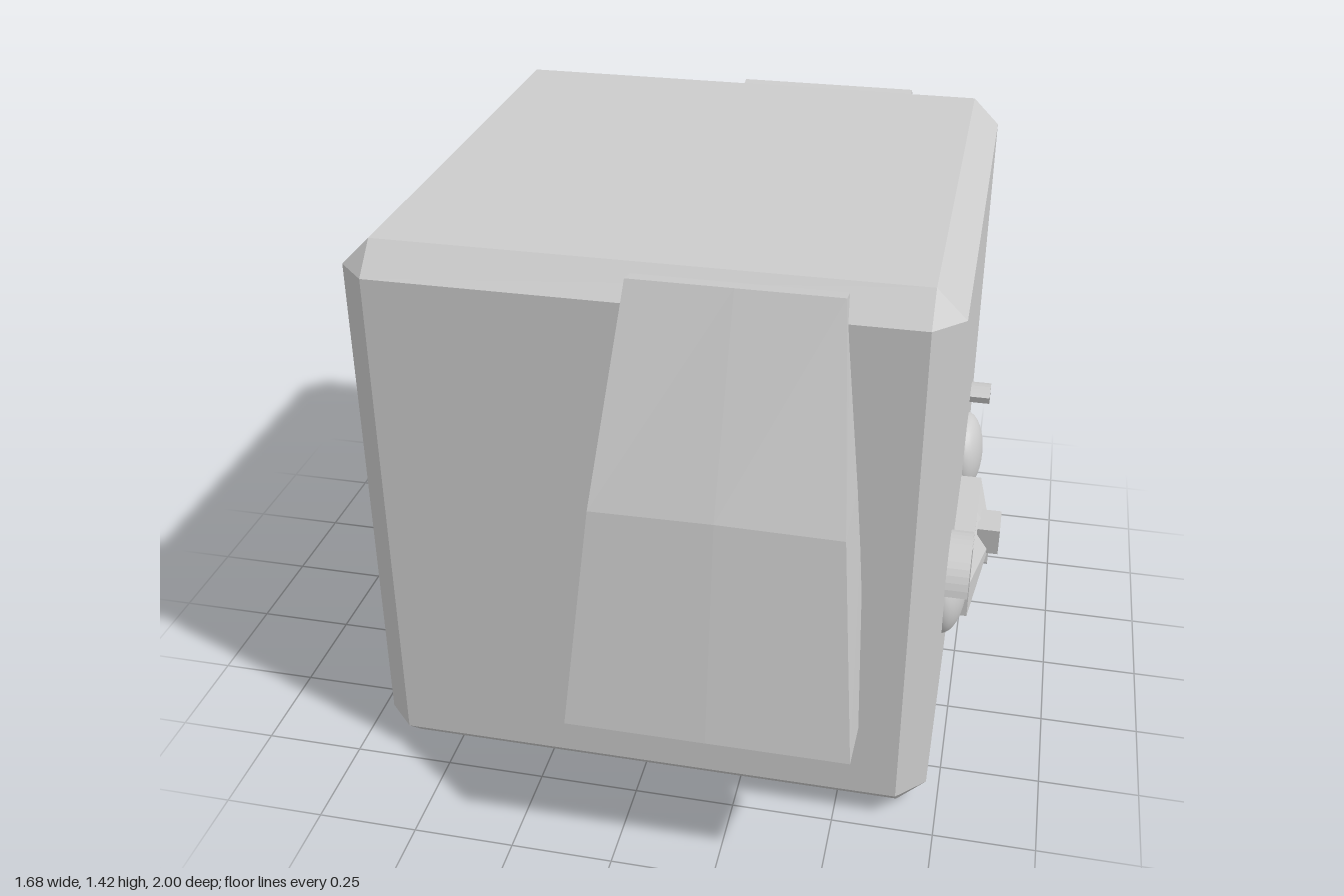
import * as THREE from 'three';
import { ConvexGeometry } from 'three/addons/geometries/ConvexGeometry.js';

const flat = new THREE.MeshStandardMaterial({ color: 0xcccccc, flatShading: true });
const smooth = new THREE.MeshStandardMaterial({ color: 0xcccccc });

function add(parent, name, geometry, material = flat) {
  const mesh = new THREE.Mesh(geometry, material);
  mesh.name = name;
  parent.add(mesh);
  return mesh;
}

// Cube with cut edges and corners
function bodyGeometry() {
  const half = [0.705, 0.71, 0.71], cut = 0.07, points = [];
  for (const sx of [-1, 1]) for (const sy of [-1, 1]) for (const sz of [-1, 1])
    for (let axis = 0; axis < 3; axis++) {
      const p = half.map((h, i) => (i === axis ? h : h - cut));
      points.push(new THREE.Vector3(sx * p[0], sy * p[1], sz * p[2]));
    }
  return new ConvexGeometry(points);
}

// Hanging ear: a box bent at the middle row and widened towards the tip
function earGeometry() {
  const rows = [ // [half width, outer z, outer y, inner z, inner y], tip to root
    [0.33, 1.0, 0.41, 0.84, 0.38],
    [0.285, 0.905, 0.935, 0.58, 0.95],
    [0.24, 0.71, 1.41, 0.66, 1.40],
  ];
  const g = new THREE.BoxGeometry(2, 2, 2, 2, 2, 1);
  const p = g.attributes.position;
  for (let i = 0; i < p.count; i++) {
    const s = p.getX(i), t = Math.round(p.getY(i)), outer = p.getZ(i) > 0;
    const [w, oz, oy, iz, iy] = rows[t + 1];
    const bulge = t === 0 && outer && Math.abs(s) < 0.1 ? 0.01 : 0;
    p.setXYZ(i, s * w, (outer ? oy : iy) + bulge, (outer ? oz : iz) + bulge);
  }
  g.computeVertexNormals();
  return g;
}

// Muzzle block whose front rises to a point in the middle
function muzzleGeometry() {
  const g = new THREE.BoxGeometry(0.365, 0.215, 0.09, 2, 2, 1);
  const p = g.attributes.position;
  for (let i = 0; i < p.count; i++) {
    if (Math.abs(p.getY(i)) > 0.01 || p.getZ(i) < 0) continue;
    if (Math.abs(p.getX(i)) < 0.01) p.setXYZ(i, 0, 0.03, 0.09);
  }
  g.computeVertexNormals();
  return g;
}

function extrude(shape, depth) {
  return new THREE.ExtrudeGeometry(shape, { depth, bevelEnabled: false, curveSegments: 6 });
}

function polygon(points) {
  return new THREE.Shape(points.map(([x, y]) => new THREE.Vector2(x, y)));
}

export function createModel() {
  const model = new THREE.Group();
  model.name = 'cubeDog';

  add(model, 'body', bodyGeometry()).position.set(0.015, 0.71, 0);

  // Ears on both sides
  for (const [name, turn] of [['leftEar', 0], ['rightEar', Math.PI]]) {
    const ear = add(model, name, earGeometry());
    ear.position.x = 0.23;
    ear.rotation.y = turn;
  }

  // Face on the +x side: local z points outwards
  const face = new THREE.Group();
  face.name = 'face';
  face.rotation.y = Math.PI / 2;
  model.add(face);

  for (const side of [-1, 1]) {
    const label = side < 0 ? 'left' : 'right';
    const eye = add(face, label + 'Eye', new THREE.SphereGeometry(0.117, 32, 20), smooth);
    eye.position.set(side * 0.343 - 0.011, 0.465, 0.715);
    eye.scale.z = 0.47;

    // Curved brow
    const a = side < 0 ? THREE.MathUtils.degToRad(68) : THREE.MathUtils.degToRad(12);
    const b = a + THREE.MathUtils.degToRad(100);
    const arc = new THREE.Shape();
    arc.absarc(0, 0, 0.122, a, b, false);
    arc.absarc(0, 0, 0.098, b, a, true);
    add(face, label + 'Brow', extrude(arc, 0.07)).position.set(side * 0.395 - 0.014, 0.532, 0.705);
  }

  add(face, 'muzzle', muzzleGeometry()).position.set(-0.003, 0.3675, 0.73);
  const nose = polygon([[-0.055, 0.455], [-0.045, 0.375], [0.034, 0.375], [0.047, 0.455]]);
  add(face, 'nose', extrude(nose, 0.06)).position.z = 0.78;
  const mouth = polygon([[-0.012, 0.378], [-0.018, 0.325], [-0.008, 0.315], [0.006, 0.318], [0.006, 0.378]]);
  add(face, 'mouth', extrude(mouth, 0.045)).position.z = 0.77;

  // Stubby pointed tail with a diamond section
  const tail = new THREE.Group();
  tail.name = 'tail';
  tail.position.set(-0.68, 0.213, 0);
  tail.rotation.z = Math.PI / 2;
  add(tail, 'tailBase', new THREE.CylinderGeometry(0.072, 0.072, 0.095, 4)).position.y = 0.0475;
  add(tail, 'tailTip', new THREE.ConeGeometry(0.072, 0.067, 4)).position.y = 0.1285;
  model.add(tail);

  return model;
}
